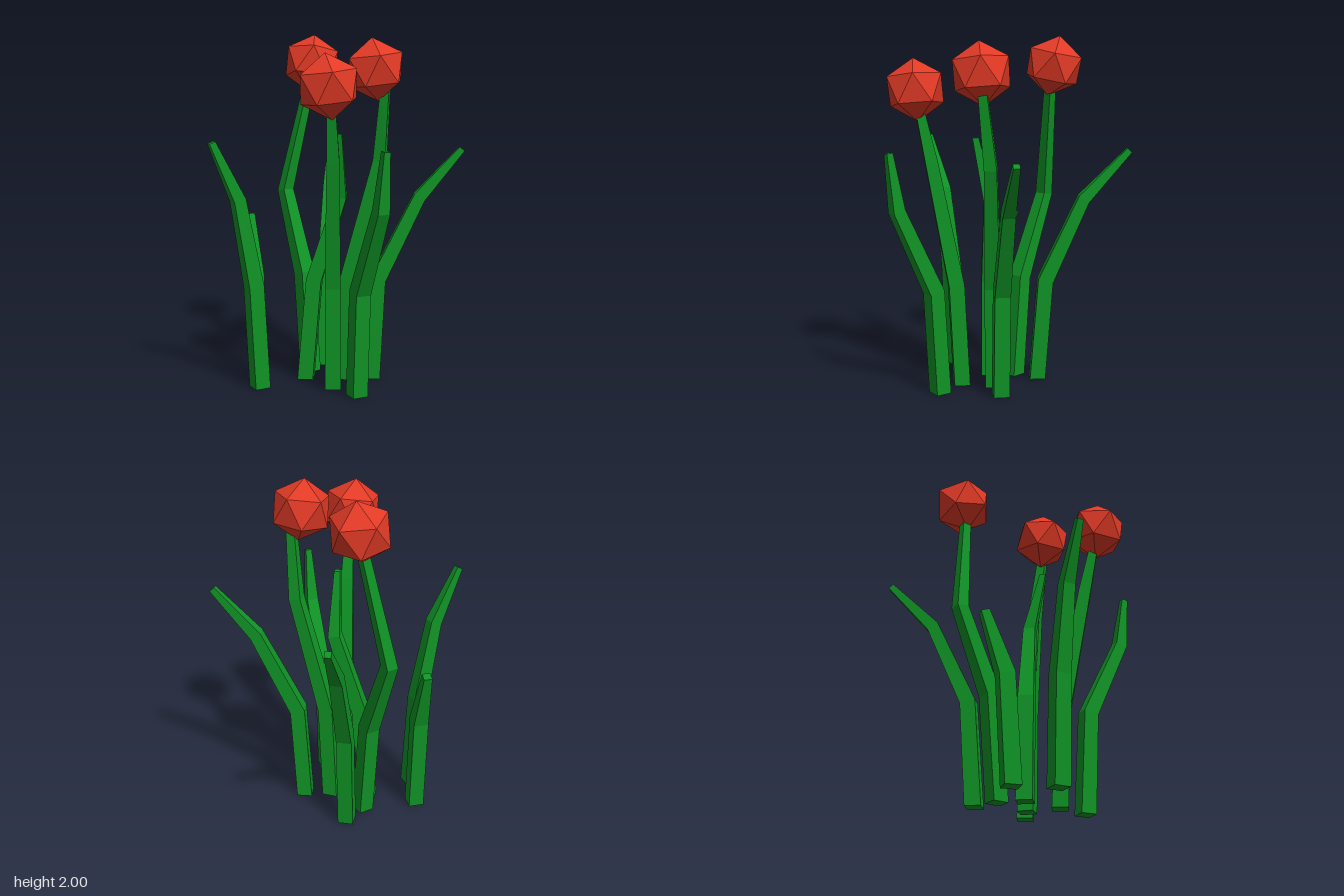
import * as THREE from 'three';

// Four-sided tapered stalk swept through a few joints, capped at both ends.
function stalkGeometry(joints, widths) {
  const pts = joints.map(p => new THREE.Vector3(...p));
  const up = new THREE.Vector3(0, 1, 0);
  const lean = pts[2].clone().sub(pts[0]).setY(0).normalize();
  const side = new THREE.Vector3().crossVectors(up, lean);
  const pos = [], idx = [];
  pts.forEach((p, i) => {
    // sections are mitred at the bends, flat on the ground
    const before = pts[Math.max(i - 1, 0)], after = pts[Math.min(i + 1, pts.length - 1)];
    const tangent = i === 0 ? up.clone()
      : p.clone().sub(before).normalize().add(after.clone().sub(p).normalize()).normalize();
    const depth = new THREE.Vector3().crossVectors(side, tangent).normalize();
    const h = widths[i] / 2;
    for (const [a, b] of [[-1, -1], [1, -1], [1, 1], [-1, 1]]) {
      const v = p.clone().addScaledVector(side, a * h).addScaledVector(depth, b * h);
      pos.push(v.x, v.y, v.z);
    }
  });
  const quad = (a, b, c, d) => idx.push(a, c, b, a, d, c);
  for (let i = 0; i < pts.length - 1; i++) {
    for (let j = 0; j < 4; j++) {
      const k = (j + 1) % 4, o = i * 4;
      quad(o + j, o + 4 + j, o + 4 + k, o + k);
    }
  }
  const t = (pts.length - 1) * 4;
  quad(0, 1, 2, 3);
  quad(t + 3, t + 2, t + 1, t);
  let g = new THREE.BufferGeometry();
  g.setAttribute('position', new THREE.Float32BufferAttribute(pos, 3));
  g.setIndex(idx);
  // make sure the faces look outwards
  const n = g.toNonIndexed();
  n.computeVertexNormals();
  const q = n.attributes.position, m = n.attributes.normal;
  const c = new THREE.Vector3().addVectors(pts[0], pts[1]).multiplyScalar(0.5);
  const d = new THREE.Vector3().fromBufferAttribute(q, 0).sub(c).setY(0);
  if (d.dot(new THREE.Vector3().fromBufferAttribute(m, 0)) < 0) {
    for (let i = 0; i < idx.length; i += 3) [idx[i + 1], idx[i + 2]] = [idx[i + 2], idx[i + 1]];
    g.setIndex(idx);
    g = g.toNonIndexed();
    g.computeVertexNormals();
    return g;
  }
  return n;
}

export function createModel() {
  const green = new THREE.MeshStandardMaterial({ name: 'leaf green', color: 0x109426, flatShading: true });
  const red = new THREE.MeshStandardMaterial({ name: 'petal red', color: 0xe23a26, flatShading: true });
  const group = new THREE.Group();
  group.name = 'flowerClump';
  const add = (name, geometry, material) => {
    const mesh = new THREE.Mesh(geometry, material);
    mesh.name = name;
    group.add(mesh);
    return mesh;
  };

  // Leaves: ground, two bends, tip
  const leaves = {
    leftLeaf: [[-0.415, 0, -0.015], [-0.447, 0.59, -0.015], [-0.537, 1.08, -0.015], [-0.687, 1.4, -0.015]],
    shortLeaf: [[-0.33, 0, -0.235], [-0.325, 0.59, -0.27], [-0.303, 0.94, -0.385]],
    backLeaf: [[0.12, 0, -0.235], [0.145, 0.59, -0.27], [0.27, 1.07, -0.45], [0.41, 1.35, -0.675]],
    rightLeaf: [[0.24, 0, 0.13], [0.267, 0.59, 0.145], [0.47, 1.07, 0.26], [0.68, 1.345, 0.375]],
    frontLeaf: [[-0.005, 0, 0.375], [-0.008, 0.59, 0.41], [-0.018, 1.06, 0.635], [-0.02, 1.375, 0.68]],
    middleLeaf: [[-0.105, 0, -0.045], [-0.065, 0.59, -0.015], [0.06, 1.07, 0.07], [0.012, 1.435, 0.135]],
  };
  for (const [name, joints] of Object.entries(leaves)) {
    const widths = joints.length === 3 ? [0.09, 0.088, 0.048] : [0.09, 0.088, 0.07, 0.036];
    add(name, stalkGeometry(joints, widths), green);
  }

  // Flower stems: ground, two bends, flower base
  const stems = {
    leftStem: [[-0.055, 0, 0.19], [-0.07, 0.59, 0.215], [-0.135, 1.3, 0.335], [-0.175, 1.6, 0.385]],
    rightStem: [[0.09, 0, 0.065], [0.105, 0.59, 0.085], [0.24, 1.28, 0.2], [0.24, 1.7, 0.255]],
    backStem: [[-0.015, 0, -0.165], [-0.027, 0.59, -0.22], [-0.05, 1.07, -0.42], [0.08, 1.72, -0.35]],
  };
  for (const [name, joints] of Object.entries(stems)) {
    add(name, stalkGeometry(joints, [0.09, 0.088, 0.07, 0.048]), green);
  }

  // Flower heads: faceted twenty-sided buds
  const bud = new THREE.IcosahedronGeometry(0.176).rotateZ(0.68);
  add('leftFlower', bud, red).position.set(-0.195, 1.7, 0.395);
  add('rightFlower', bud, red).position.set(0.19, 1.79, 0.225);
  const backBud = new THREE.IcosahedronGeometry(0.174)
    .rotateX(-Math.atan((1 + Math.sqrt(5)) / 2))
    .rotateY(-0.44).rotateZ(-0.17).rotateX(-0.12);
  add('backFlower', backBud, red).position.set(0.1, 1.83, -0.36);

  return group;
}
